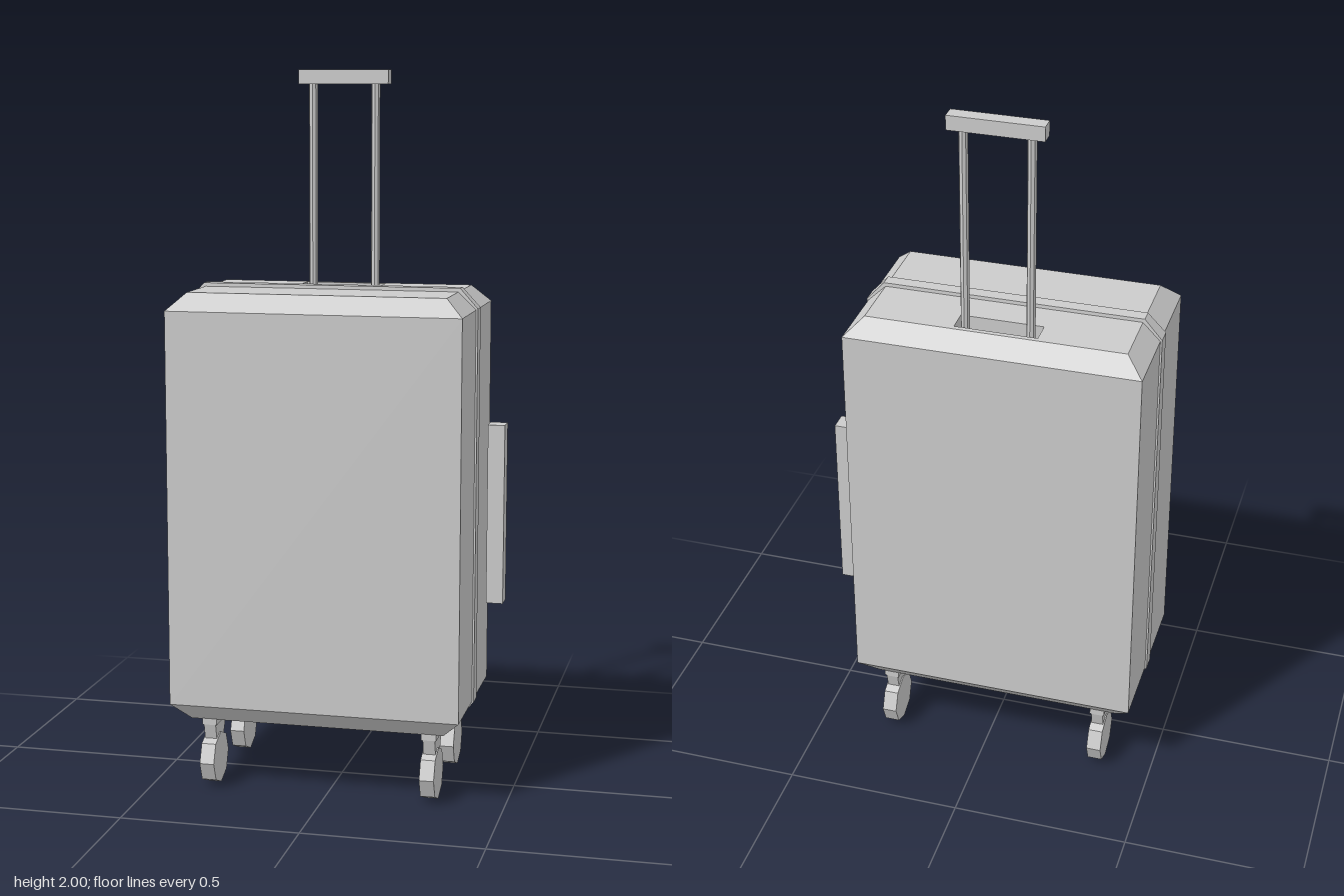
import * as THREE from 'three';

const grey = new THREE.MeshStandardMaterial({ color: 0xcccccc, flatShading: true });
const inside = new THREE.MeshStandardMaterial({ color: 0xcccccc, flatShading: true, side: THREE.BackSide });
const CX = -0.03; // centre line of the case

function add(parent, name, geometry, x = 0, y = 0, z = 0, material = grey) {
  const mesh = new THREE.Mesh(geometry, material);
  mesh.name = name;
  mesh.position.set(x, y, z);
  parent.add(mesh);
  return mesh;
}

// Box whose top and bottom ends taper in; rows lists the four heights
function taperedBox(width, depth, rows, endWidth, endDepth) {
  const g = new THREE.BoxGeometry(width, 3, depth, 1, 3, 1);
  const p = g.attributes.position;
  for (let i = 0; i < p.count; i++) {
    const row = Math.round(p.getY(i) + 1.5);
    p.setY(i, rows[row]);
    if (row === 0 || row === 3) {
      p.setX(i, Math.sign(p.getX(i)) * endWidth / 2);
      p.setZ(i, Math.sign(p.getZ(i)) * endDepth / 2);
    }
  }
  g.computeVertexNormals();
  return g;
}

// Leaves a box open at the top
function openTop(g) {
  const { start, count } = g.groups[2];
  const index = Array.from(g.index.array);
  index.splice(start, count);
  g.setIndex(index);
  g.clearGroups();
  return g;
}

function rectangle(Kind, x0, x1, y0, y1) {
  const r = new Kind();
  r.moveTo(x0, y0);
  r.lineTo(x1, y0);
  r.lineTo(x1, y1);
  r.lineTo(x0, y1);
  r.closePath();
  return r;
}

// Wheel with a swivel plate and a trailing fork; end is +1 front, -1 back
function caster(end) {
  const g = new THREE.Group();
  add(g, 'wheel', new THREE.CylinderGeometry(0.074, 0.074, 0.041, 8).rotateZ(Math.PI / 2), 0, 0.074, end * 0.154);
  const side = [[0.09, 0.182], [0.195, 0.182], [0.182, 0.13], [0.165, 0.1], [0.13, 0.1], [0.115, 0.13]];
  const shape = new THREE.Shape(side.map(([z, y]) => new THREE.Vector2(-end * z, y)));
  const fork = new THREE.ExtrudeGeometry(shape, { depth: 0.034, bevelEnabled: false });
  fork.translate(0, 0, -0.017).rotateY(Math.PI / 2);
  add(g, 'fork', fork);
  add(g, 'swivelPlate', new THREE.BoxGeometry(0.042, 0.018, 0.108), 0, 0.188, end * 0.142);
  return g;
}

export function createModel() {
  const model = new THREE.Group();
  model.name = 'suitcase';

  // Shell and the raised band around its seam
  const shell = new THREE.Group();
  shell.name = 'shell';
  model.add(shell);
  add(shell, 'shellSides', openTop(taperedBox(0.82, 0.48, [0.195, 0.245, 1.352, 1.4], 0.72, 0.388)), CX);
  add(shell, 'seamBand', taperedBox(0.83, 0.046, [0.185, 0.243, 1.355, 1.41], 0.73, 0.037), CX, 0, -0.002);

  // Top panel with the slot for the pull handle
  const top = rectangle(THREE.Shape, -0.36, 0.36, -0.194, 0.194);
  top.holes.push(rectangle(THREE.Path, -0.115, 0.115, 0.117, 0.18));
  add(shell, 'topPanel', new THREE.ShapeGeometry(top).rotateX(-Math.PI / 2), CX, 1.4);
  add(shell, 'handleSlot', openTop(new THREE.BoxGeometry(0.23, 0.06, 0.063)), CX, 1.37, -0.1485, inside);

  // Telescopic pull handle
  const handle = new THREE.Group();
  handle.name = 'pullHandle';
  model.add(handle);
  add(handle, 'grip', new THREE.BoxGeometry(0.258, 0.04, 0.042), CX, 1.98, -0.16);
  for (const s of [-1, 1]) {
    add(handle, 'post', new THREE.CylinderGeometry(0.0125, 0.0125, 0.63, 8), CX + s * 0.09, 1.655, -0.157);
  }

  // Side carry handle
  add(model, 'sideHandle', new THREE.BoxGeometry(0.048, 0.515, 0.054), 0.42, 0.757, -0.135);

  // Four casters
  for (const x of [-0.338, 0.29]) {
    for (const end of [-1, 1]) {
      const c = caster(end);
      c.name = 'caster';
      c.position.x = x;
      model.add(c);
    }
  }
  return model;
}
